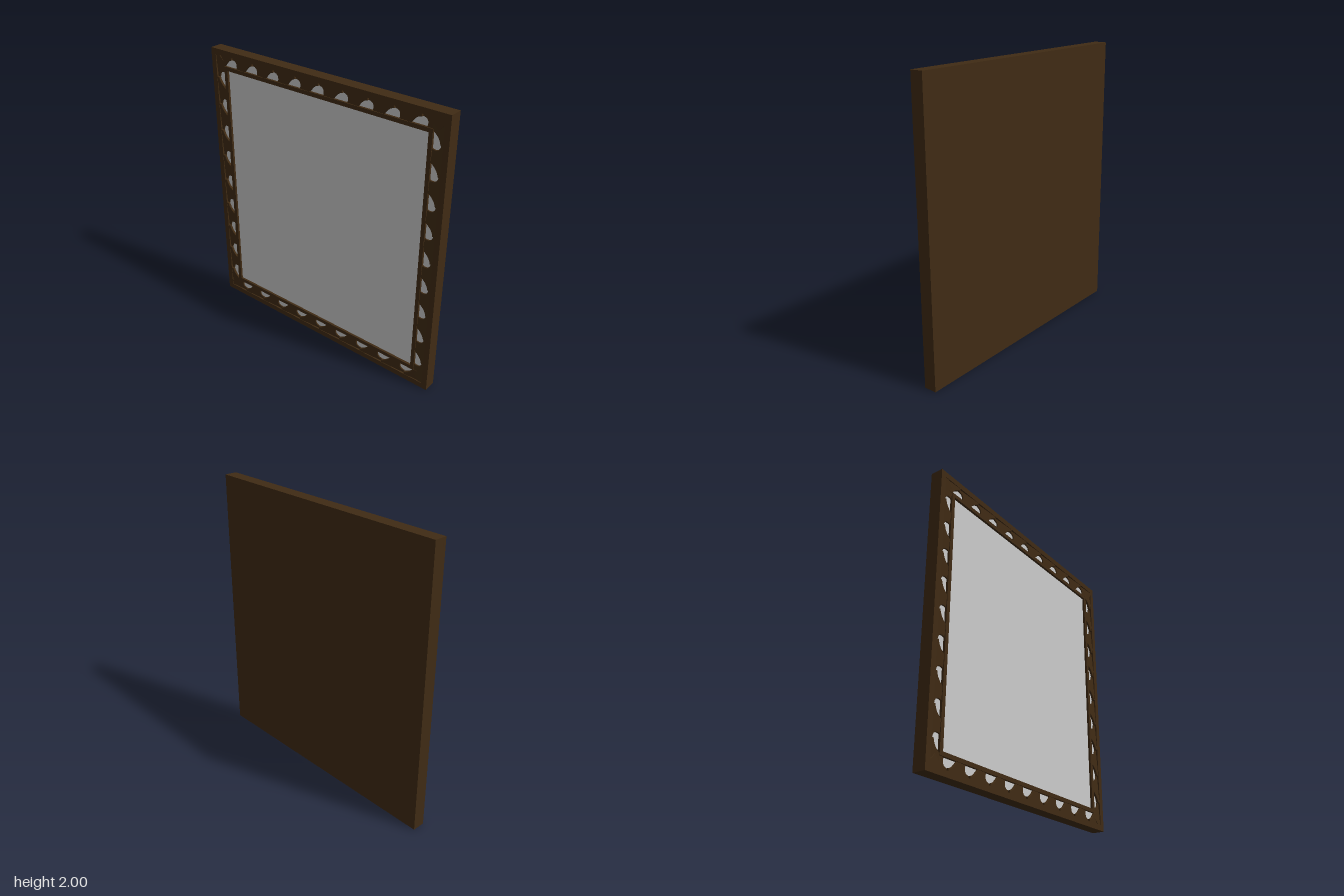
import * as THREE from 'three';

const W = 1.89, H = 2, T = 0.09;      // overall width, height, thickness
const PER_SIDE = 10;                  // carved leaves along each side

export function createModel() {
  const wood = new THREE.MeshStandardMaterial({ color: 0x402b14 });
  const grey = new THREE.MeshStandardMaterial({ color: 0xcccccc });
  const group = new THREE.Group();

  // Built in the XY plane facing +z, then turned so the picture faces -x
  const frame = new THREE.Group();
  frame.name = 'pictureFrame';
  frame.position.y = H / 2;
  frame.rotation.y = -Math.PI / 2;
  group.add(frame);

  const add = (name, geometry, material, z = 0, parent = frame) => {
    const mesh = new THREE.Mesh(geometry, material);
    mesh.name = name;
    mesh.position.z = z;
    parent.add(mesh);
    return mesh;
  };

  const rect = (path, w, h) => path
    .moveTo(-w / 2, -h / 2).lineTo(w / 2, -h / 2)
    .lineTo(w / 2, h / 2).lineTo(-w / 2, h / 2).closePath();

  // Rectangular ring lying between two insets from the outer edge
  const ring = (from, to, depth) => {
    const shape = new THREE.Shape();
    rect(shape, W - 2 * from, H - 2 * from);
    const hole = new THREE.Path();
    rect(hole, W - 2 * to, H - 2 * to);
    shape.holes.push(hole);
    return new THREE.ExtrudeGeometry(shape, { depth, bevelEnabled: false });
  };

  // Back board, picture panel, outer rim and inner lip
  add('backBoard', new THREE.BoxGeometry(W - 0.02, H - 0.02, 0.06), wood, -T / 2 + 0.03);
  add('picturePanel', new THREE.BoxGeometry(W - 0.06, H - 0.06, 0.012), grey, 0.02);
  add('outerRim', ring(0, 0.04, T), wood, -T / 2);
  add('innerLip', ring(0.113, 0.14, 0.03), wood, 0.012);

  // Leaning leaf: full pitch at the rim, narrow where it meets the lip
  const leafGeometry = (pitch) => {
    const a = pitch / 2, lean = 0.022, tip = pitch * 0.22;
    const s = new THREE.Shape();
    s.moveTo(-a, 0.03);
    s.lineTo(a, 0.03);
    s.lineTo(a, 0.058);
    s.quadraticCurveTo(tip, 0.062, tip + lean, 0.118);
    s.lineTo(-tip + lean, 0.118);
    s.quadraticCurveTo(-tip - 0.01, 0.066, -a, 0.058);
    s.closePath();
    return new THREE.ExtrudeGeometry(s, {
      depth: 0.01, bevelThickness: 0.004, bevelSize: 0.004, bevelOffset: -0.004,
      bevelSegments: 2, curveSegments: 5,
    });
  };

  // Carved border on the four sides
  const sides = [['bottom', W, H], ['right', H, W], ['top', W, H], ['left', H, W]];
  sides.forEach(([name, length, across], i) => {
    const side = new THREE.Group();
    side.name = name + 'Carving';
    side.rotation.z = i * Math.PI / 2;
    frame.add(side);
    const pitch = length / PER_SIDE;
    const geometry = leafGeometry(pitch);
    for (let k = 0; k < PER_SIDE; k++) {
      const leaf = add('carvedLeaf', geometry, wood, 0.024, side);
      leaf.position.x = -length / 2 + (k + 0.5) * pitch;
      leaf.position.y = -across / 2;
      leaf.rotation.y = 0.06;   // slight tilt gives each leaf a raised edge
    }
  });

  return group;
}
